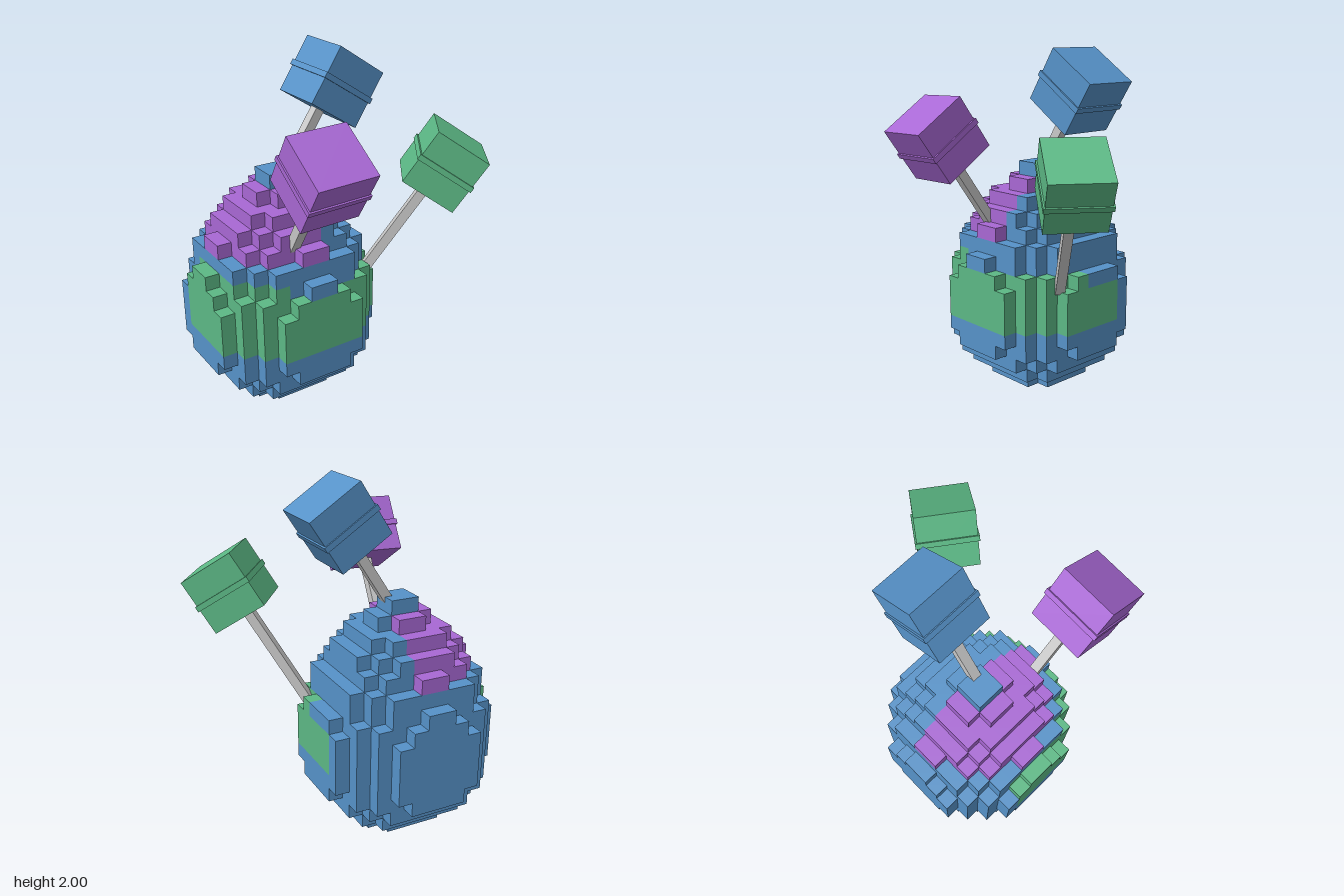
import * as THREE from 'three';
import { mergeGeometries } from 'three/addons/utils/BufferGeometryUtils.js';

const mat = (name, color) => {
  const m = new THREE.MeshStandardMaterial({ color });
  m.name = name;
  return m;
};

// Egg grid: 12 x 16 x 12 cells, squared radius of each layer from the bottom up
const CELL = 1 / 12, CX = -0.287, CZ = -0.2, N = 12;
const LAYERS = [10, 19, 27, 34, 38, 38, 38, 38, 34, 31, 27, 22, 16, 10, 4, 1];

function filled(x, y, z) {
  if (y < 0 || y >= LAYERS.length) return false;
  // small notches on the left side
  if ((y === 9 && x === 11) || (y === 11 && x === 10)) return false;
  return (x - 5.5) ** 2 + (z - 5.5) ** 2 < LAYERS[y];
}

// Green band around the front, purple patch on the upper right
function colourOf(x, y, z) {
  if (y >= 11 && y <= 14 && x <= 6) return 'purple';
  if (z >= 4) {
    if (y >= 5 && y <= 7) return 'green';
    if (y === 8 && (x <= 3 || z >= 7)) return 'green';
    if (y === 9 && x <= 3) return 'green';
  }
  return 'blue';
}

// One outward square for each exposed side of a cell
const SIDES = [[1, 0, 0], [-1, 0, 0], [0, 1, 0], [0, -1, 0], [0, 0, 1], [0, 0, -1]].map((d) => {
  const dir = new THREE.Vector3(...d);
  const geo = new THREE.PlaneGeometry(CELL, CELL).translate(0, 0, CELL / 2);
  geo.applyQuaternion(new THREE.Quaternion().setFromUnitVectors(
    new THREE.Vector3(0, 0, 1), dir));
  return { d, geo };
});

// setFromUnitVectors handles the opposite direction with a half turn
function buildEgg(mats) {
  const egg = new THREE.Group();
  egg.name = 'steppedEgg';
  const faces = { blue: [], green: [], purple: [] };
  for (let y = 0; y < LAYERS.length; y++)
    for (let z = 0; z < N; z++)
      for (let x = 0; x < N; x++) {
        if (!filled(x, y, z)) continue;
        for (const { d, geo } of SIDES) {
          if (filled(x + d[0], y + d[1], z + d[2])) continue;
          faces[colourOf(x, y, z)].push(geo.clone().translate(
            CX + (x - 5.5) * CELL, (y + 0.5) * CELL, CZ + (z - 5.5) * CELL));
        }
      }
  const names = { blue: 'eggShell', green: 'eggBand', purple: 'eggPatch' };
  for (const key in faces) {
    const mesh = new THREE.Mesh(mergeGeometries(faces[key]), mats[key]);
    mesh.name = names[key];
    egg.add(mesh);
  }
  return egg;
}

// Cube with a raised middle band on a square stick
function buildMallet(name, material, stickMaterial, position, rotation) {
  const g = new THREE.Group();
  g.name = name;
  const box = (part, w, h, m, y) => {
    const mesh = new THREE.Mesh(new THREE.BoxGeometry(w, h, w), m);
    mesh.name = part;
    mesh.position.y = y;
    g.add(mesh);
  };
  box('head', 0.332, 0.335, material, 0);
  box('headBand', 0.35, 0.032, material, 0);
  box('stick', 0.055, 0.7, stickMaterial, -0.47);
  g.position.set(...position);
  g.rotation.set(...rotation, 'YXZ');
  return g;
}

export function createModel() {
  const mats = {
    blue: mat('blue', 0x5692c8),
    green: mat('green', 0x5cb885),
    purple: mat('purple', 0xa868d4),
    grey: mat('stickGrey', 0xc8c8c8),
  };
  const model = new THREE.Group();
  model.name = 'eggWithMallets';
  model.add(
    buildEgg(mats),
    buildMallet('blueMallet', mats.blue, mats.grey, [0.072, 1.77, -0.18], [0, 0, -0.58]),
    buildMallet('purpleMallet', mats.purple, mats.grey, [-0.395, 1.515, 0.46], [0.59, 0, 0.04]),
    buildMallet('greenMallet', mats.green, mats.grey, [0.497, 1.355, 0.296], [0, -0.62, -0.575]),
  );
  return model;
}
